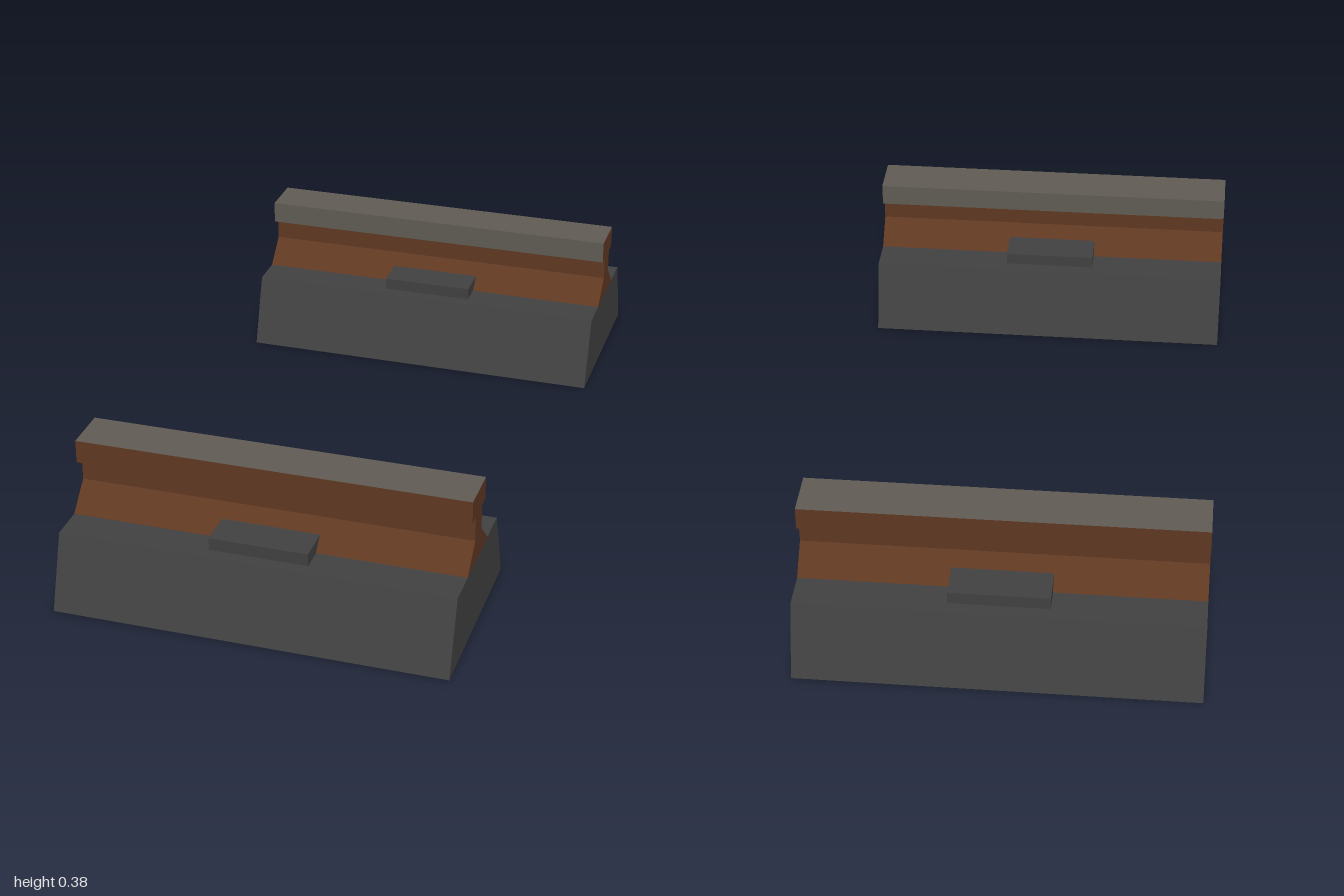
import * as THREE from 'three';

const LENGTH = 1;

function material(name, color) {
  const m = new THREE.MeshStandardMaterial({ color });
  m.name = name;
  return m;
}

// Extrude a half profile [halfWidth, y], mirrored about its centre, along x
function profileBar(half) {
  const points = [
    ...half.map(([w, y]) => new THREE.Vector2(w, y)),
    ...half.slice().reverse().map(([w, y]) => new THREE.Vector2(-w, y)),
  ];
  return new THREE.ExtrudeGeometry(new THREE.Shape(points), { depth: LENGTH, bevelEnabled: false })
    .translate(0, 0, -LENGTH / 2)
    .rotateY(Math.PI / 2);
}

export function createModel() {
  const concrete = material('dark concrete', 0x414141);
  const rust = material('rusty steel', 0x603822);
  const steel = material('worn steel', 0x605c55);

  const add = (parent, name, geometry, mat, y = 0) => {
    const mesh = new THREE.Mesh(geometry, mat);
    mesh.name = name;
    mesh.position.y = y;
    parent.add(mesh);
  };

  // One rail on its bed, with its inner side facing -z
  function rail(name) {
    const g = new THREE.Group();
    g.name = name;
    add(g, 'railBed', profileBar([[0.25, 0], [0.1875, 0.1875]]), concrete);
    add(g, 'railFootAndWeb', profileBar([[0.095, 0.1875], [0.03, 0.251], [0.03, 0.315]]), rust);
    // Running surface and inner flank are worn bare
    add(g, 'railHead', new THREE.BoxGeometry(LENGTH, 0.06, 0.122),
      [rust, rust, steel, rust, rust, steel], 0.345);
    add(g, 'railFastening', new THREE.BoxGeometry(0.25, 0.0325, 0.31), concrete, 0.20375);
    return g;
  }

  const model = new THREE.Group();
  model.name = 'railTrack';
  const front = rail('frontRail');
  front.position.z = 0.75;
  const back = rail('backRail');
  back.position.z = -0.75;
  back.rotation.y = Math.PI;
  model.add(front, back);
  return model;
}
